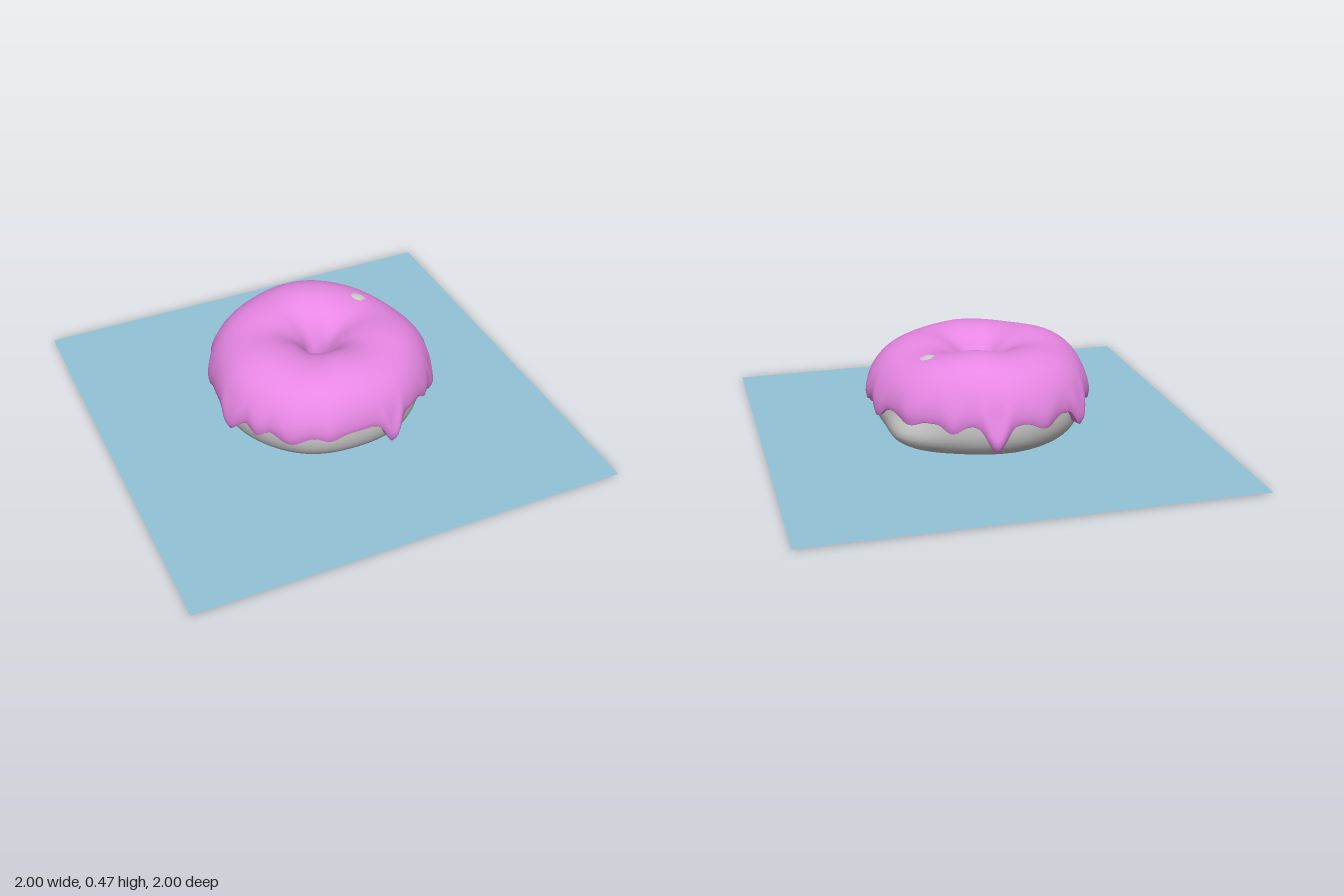
import * as THREE from 'three';

const rad = THREE.MathUtils.degToRad;
const DRIPS = [ // angle (deg from +x towards +z), half width (deg), lowest y
  [73, 5.5, 0.10], [26, 6, 0.11], [41, 6, 0.175], [-11, 6, 0.165], [-38, 7, 0.19],
  [-62, 6, 0.18], [-84, 6, 0.10], [-110, 7, 0.18], [-137, 6, 0.13], [-162, 7, 0.18],
  [164, 7, 0.14], [146, 5, 0.18], [128, 8, 0.18], [108, 6, 0.20], [8, 5, 0.19]
];
const angleGap = (t, deg) => {
  const d = t - rad(deg);
  return Math.atan2(Math.sin(d), Math.cos(d));
};
const bell = (d, w) => Math.exp(-(d * d) / (w * w));
const power = (v, p) => Math.sign(v) * Math.abs(v) ** p;

const RING = 0.275, MID = 0.22, HALF = 0.205, EDGE = 0.225;

// Point on the lumpy ring: t around the ring, f around the section, off = thickness
function ringPoint(t, f, off) {
  const c = Math.cos(f), s = Math.sin(f);
  const flat = s < 0 ? 0.8 : 0.94;
  let r = RING + (HALF + off) * power(c, flat);
  let y = MID + (HALF + off) * power(s, flat);
  const top = Math.max(0, s), outer = Math.max(0, c);
  r += outer * (0.006 * Math.sin(3 * t + 0.6) + 0.004 * Math.sin(7 * t));
  r += Math.max(0, -c) * -0.012 * Math.cos(2 * t);
  y += top * (0.03 * bell(angleGap(t, -80), 0.5) - 0.012 * bell(angleGap(t, 0), 0.5)
    + 0.005 * Math.sin(5 * t));
  return { r, y };
}

// Smooth grid closed around the ring, optionally closed around the section
function ringGrid(nt, nf, closed, point) {
  const pos = [], index = [];
  for (let i = 0; i < nt; i++) {
    const t = (i / nt) * Math.PI * 2;
    for (let j = 0; j < nf; j++) {
      const { r, y } = point(t, j);
      pos.push(r * Math.cos(t), y, r * Math.sin(t));
    }
  }
  for (let i = 0; i < nt; i++) {
    for (let j = 0; j < (closed ? nf : nf - 1); j++) {
      const k = (j + 1) % nf, n = ((i + 1) % nt) * nf, m = i * nf;
      index.push(m + j, m + k, n + j, m + k, n + k, n + j);
    }
  }
  const geo = new THREE.BufferGeometry();
  geo.setAttribute('position', new THREE.Float32BufferAttribute(pos, 3));
  geo.setIndex(index);
  geo.computeVertexNormals();
  return geo;
}

function doughGeometry() {
  const nf = 48;
  return ringGrid(128, nf, true, (t, j) => {
    const f = (j / nf) * Math.PI * 2;
    const p = ringPoint(t, f, 0);
    const low = Math.max(0, -Math.sin(f)), outer = Math.max(0, Math.cos(f));
    // bulging lower flank and uneven underside
    p.r += outer * bell(p.y - 0.1, 0.1) * 0.06 * bell(angleGap(t, -33), 0.3);
    p.y += low * (0.007 + 0.004 * Math.sin(4 * t + 1));
    const x = p.r * Math.cos(t), z = p.r * Math.sin(t);
    if (low > 0) p.y -= 0.02 * low * bell(Math.hypot(x - 0.24, z - 0.27), 0.1);
    // small crest showing through the icing
    else p.y += 0.032 * bell(Math.hypot(x - 0.28, z + 0.16), 0.06);
    p.y = Math.max(0, p.y);
    return p;
  });
}

function icingGeometry() {
  const nf = 44, thick = 0.023;
  // rim rows roll the edge back into the dough
  const roll = [-0.012, 0.004, 0.015, 0.021];
  return ringGrid(300, nf, false, (t, j) => {
    let edge = EDGE + 0.006 * Math.sin(9 * t), swell = 0;
    for (const [deg, width, low] of DRIPS) {
      const b = bell(angleGap(t, deg), rad(width));
      edge = Math.min(edge, EDGE - (EDGE - low) * b);
      swell = Math.max(swell, b * (EDGE - low) / 0.125);
    }
    const s = (edge - MID) / (HALF + thick);
    const start = Math.asin(power(s, 1 / (s < 0 ? 0.8 : 0.94)));
    const end = Math.PI * 1.12;
    const k = Math.max(0, (j - 3) / (nf - 4));
    const f = start + (end - start) * k - (j < 3 ? 0.015 * Math.sin(j * 1.05) : 0);
    const off = j < 4 ? roll[j] : j === nf - 1 ? -0.01 : thick;
    const p = ringPoint(t, f, off);
    // drips hang thickest near their tips
    if (Math.cos(f) > 0 && j > 0) p.r += 0.032 * swell * bell(p.y - edge - 0.04, 0.07);
    return p;
  });
}

export function createModel() {
  const model = new THREE.Group();
  const add = (name, geometry, color, side = THREE.FrontSide) => {
    const mesh = new THREE.Mesh(geometry, new THREE.MeshStandardMaterial({ color, side }));
    mesh.name = name;
    model.add(mesh);
    return mesh;
  };
  add('dough', doughGeometry(), 0xcccccc);
  add('icing', icingGeometry(), 0xe787e4, THREE.DoubleSide);
  // flat table surface under the ring
  const table = add('tableSurface', new THREE.PlaneGeometry(2, 2), 0x93c3d9, THREE.DoubleSide);
  table.rotation.x = -Math.PI / 2;
  table.position.y = 0.01;
  return model;
}
